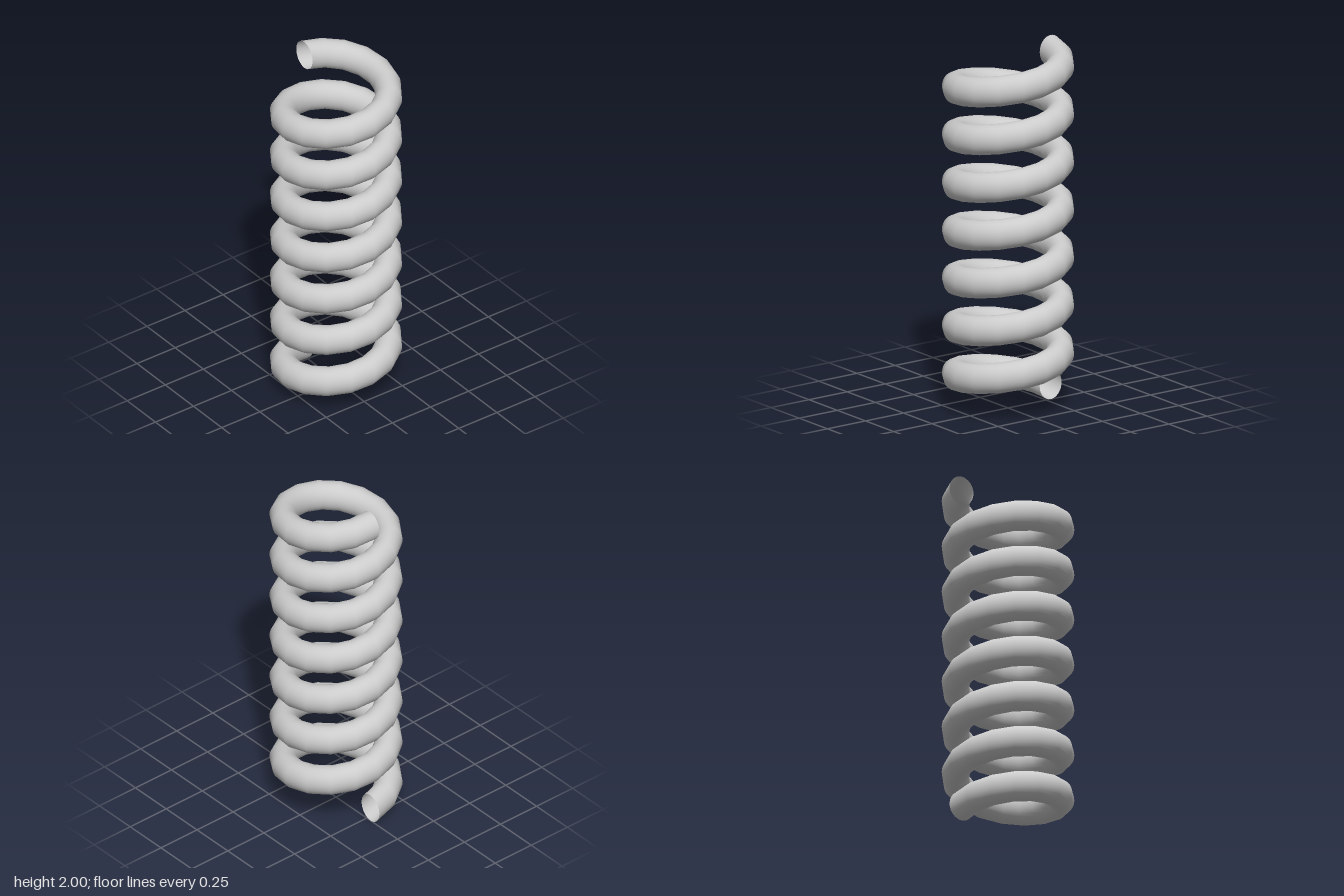
import * as THREE from 'three';

const TURNS = 7, STEPS = 16, SIDES = 32; // steps per turn, sides of the wire
const COIL_RADIUS = 0.28;
const WIRE_X = 0.072, WIRE_Y = 0.082; // radial and vertical half sizes of the wire
const PITCH = (2 - 2 * WIRE_Y) / TURNS;

// Sweeps an upright oval section around the y axis while it rises; both ends stay open.
function coilGeometry() {
  const positions = [], indices = [];
  const rings = TURNS * STEPS;
  for (let i = 0; i <= rings; i++) {
    const turn = (i / STEPS) * Math.PI * 2;
    const centreY = WIRE_Y + (i / STEPS) * PITCH;
    for (let j = 0; j < SIDES; j++) {
      const a = (j / SIDES) * Math.PI * 2;
      const r = COIL_RADIUS + WIRE_X * Math.cos(a);
      positions.push(-Math.sin(turn) * r, centreY + WIRE_Y * Math.sin(a), -Math.cos(turn) * r);
    }
  }
  for (let i = 0; i < rings; i++) {
    for (let j = 0; j < SIDES; j++) {
      const k = (j + 1) % SIDES;
      const a = i * SIDES + j, b = i * SIDES + k;
      const c = a + SIDES, d = b + SIDES;
      indices.push(a, c, b, b, c, d);
    }
  }
  const geometry = new THREE.BufferGeometry();
  geometry.setAttribute('position', new THREE.Float32BufferAttribute(positions, 3));
  geometry.setIndex(indices);
  geometry.computeVertexNormals();
  return geometry;
}

export function createModel() {
  const group = new THREE.Group();
  group.name = 'spring';
  const material = new THREE.MeshStandardMaterial({ color: 0xcccccc, side: THREE.DoubleSide });
  const coil = new THREE.Mesh(coilGeometry(), material);
  coil.name = 'coil';
  group.add(coil);
  return group;
}
